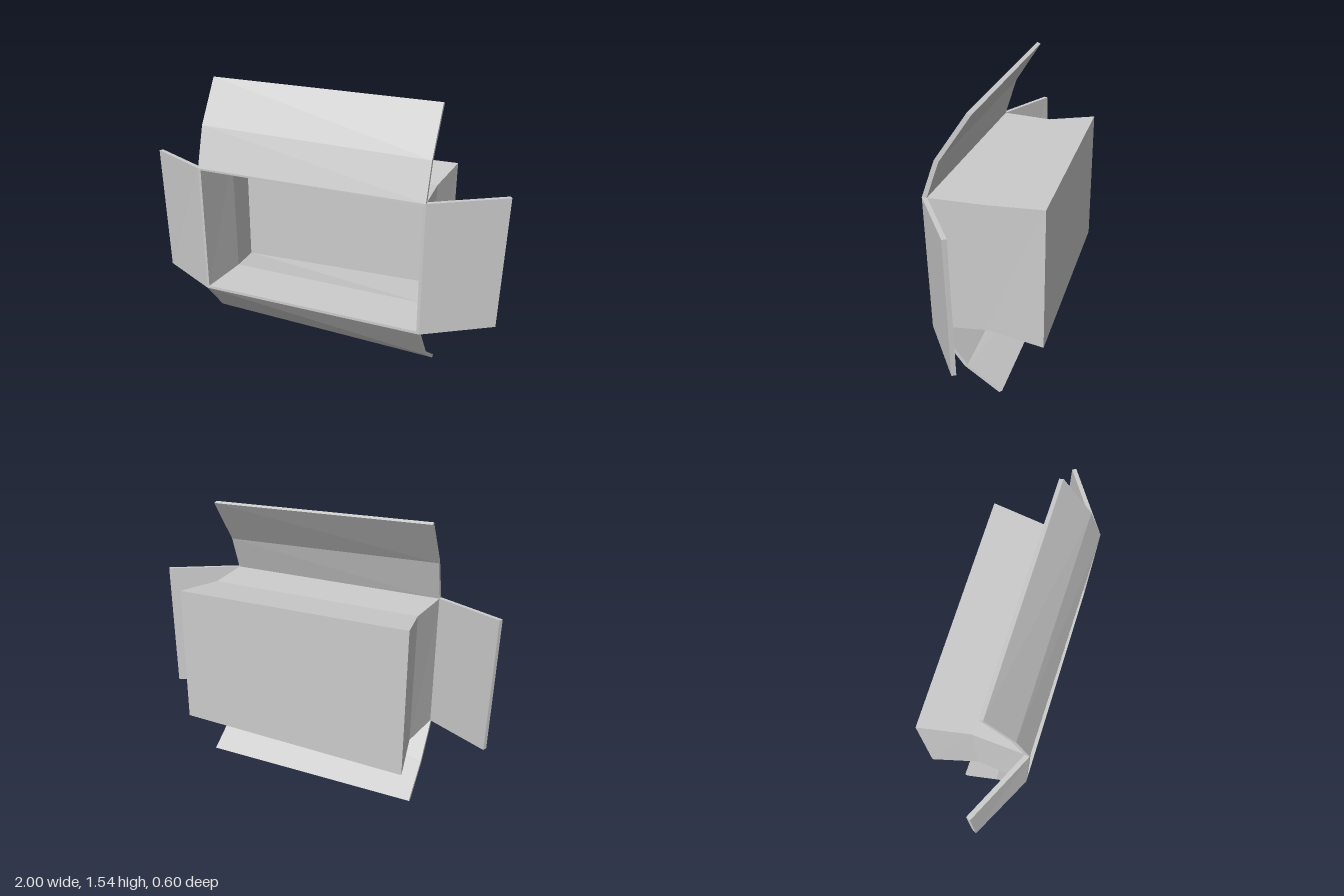
import * as THREE from 'three';

const material = new THREE.MeshStandardMaterial({ color: 0xcccccc, flatShading: true });

// Solid lofted through four-cornered sections, closed at both ends.
function loft(name, sections) {
  const pos = [];
  const tri = (...corners) => corners.forEach((c) => pos.push(...c));
  const quad = (a, b, c, d) => tri(a, b, c, a, c, d);
  quad(...sections[0]);
  for (let s = 0; s + 1 < sections.length; s++) {
    const a = sections[s], b = sections[s + 1];
    for (let i = 0; i < 4; i++) {
      const j = (i + 1) % 4;
      quad(a[i], b[i], b[j], a[j]);
    }
  }
  quad(...[...sections[sections.length - 1]].reverse());
  const geometry = new THREE.BufferGeometry();
  geometry.setAttribute('position', new THREE.Float32BufferAttribute(pos, 3));
  geometry.computeVertexNormals();
  const mesh = new THREE.Mesh(geometry, material);
  mesh.name = name;
  return mesh;
}

// Flap: two long edges running away from the hinge, thickened by an offset.
function flap(name, edgeA, edgeB, offset) {
  const shift = (p) => p.map((v, k) => v + offset[k]);
  return loft(name, edgeA.map((a, i) => [a, edgeB[i], shift(edgeB[i]), shift(a)]));
}

export function createModel() {
  const group = new THREE.Group();
  group.name = 'openBox';

  // Box lying on its side: from the inside back wall, out round the rim, to the outside back wall
  group.add(loft('boxBody', [
    [[-0.635, 0.335, -0.285], [0.63, 0.36, -0.285], [0.63, 1.09, -0.285], [-0.635, 1.09, -0.285]],
    [[-0.585, 0.38, -0.03], [0.59, 0.38, 0], [0.595, 1.068, 0], [-0.59, 1.07, -0.03]],
    [[-0.615, 0.375, 0.265], [0.62, 0.375, 0.285], [0.62, 1.075, 0.3], [-0.615, 1.08, 0.27]],
    [[-0.63, 0.36, 0.265], [0.635, 0.36, 0.285], [0.635, 1.09, 0.3], [-0.63, 1.09, 0.27]],
    [[-0.6, 0.367, -0.035], [0.61, 0.367, 0], [0.615, 1.078, 0], [-0.605, 1.08, -0.035]],
    [[-0.655, 0.315, -0.302], [0.65, 0.345, -0.302], [0.65, 1.105, -0.302], [-0.655, 1.105, -0.302]],
  ]));

  // Long flaps, each with a fold halfway
  group.add(flap('topFlap',
    [[0.635, 1.09, 0.3], [0.635, 1.285, 0.23], [0.635, 1.525, 0.065]],
    [[-0.63, 1.09, 0.27], [-0.63, 1.31, 0.2], [-0.63, 1.54, 0.052]],
    [0, -0.008, -0.022]));
  group.add(flap('bottomFlap',
    [[-0.63, 0.36, 0.265], [-0.635, 0.165, 0.1], [-0.645, 0.03, -0.105]],
    [[0.635, 0.36, 0.285], [0.635, 0.135, 0.12], [0.635, 0, -0.065]],
    [0, 0.012, -0.016]));

  // Short flat side flaps
  group.add(flap('rightFlap',
    [[-0.63, 1.09, 0.27], [-1, 1.09, 0.085]],
    [[-0.63, 0.36, 0.265], [-0.99, 0.36, 0.075]],
    [0.01, 0, -0.022]));
  group.add(flap('leftFlap',
    [[0.635, 0.36, 0.285], [0.985, 0.36, 0.06]],
    [[0.635, 1.09, 0.3], [1, 1.09, 0.068]],
    [-0.012, 0, -0.02]));

  return group;
}
